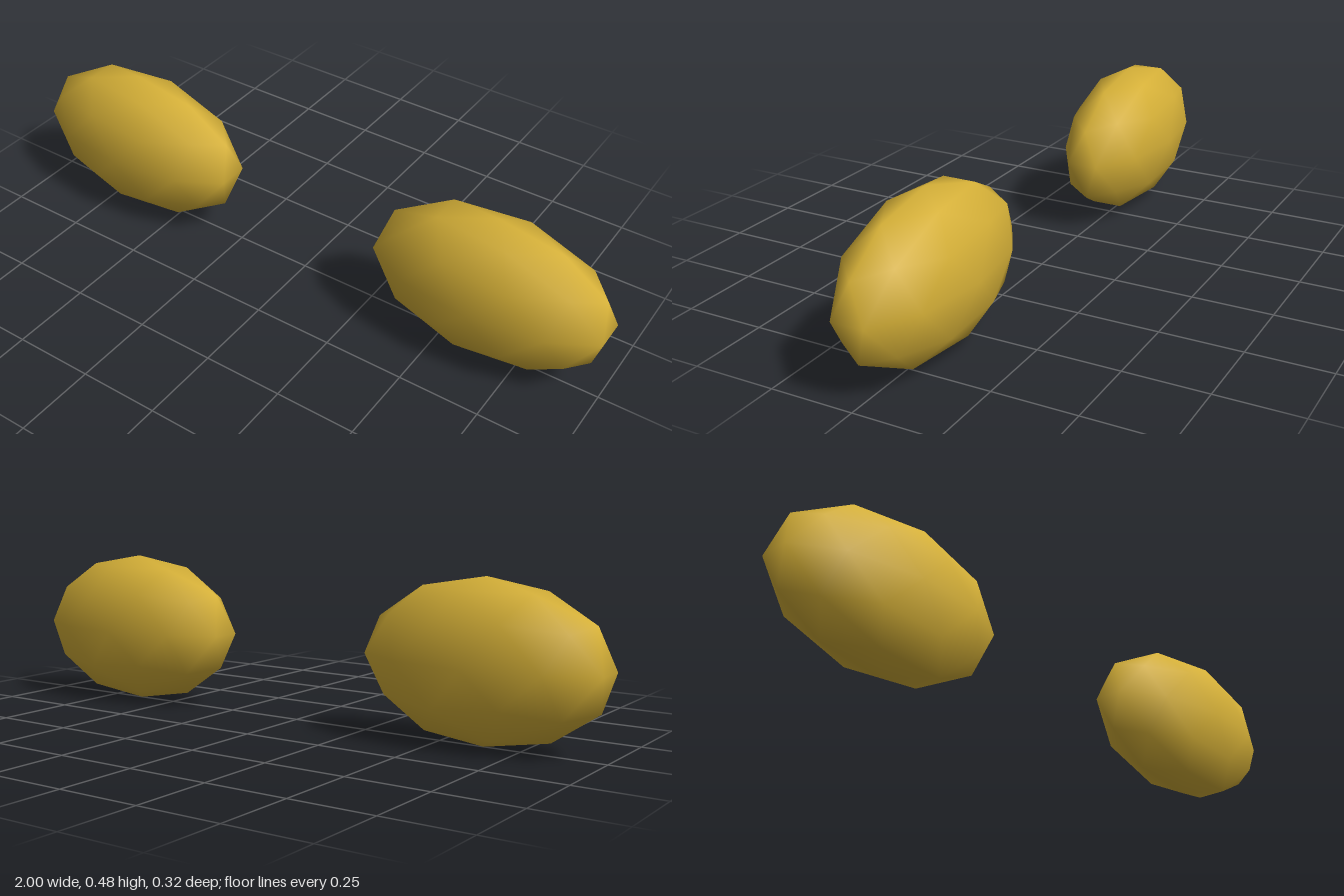
import * as THREE from 'three';

const gold = new THREE.MeshStandardMaterial({ color: 0xd4af37 });
gold.name = 'gold';

// Subdivided icosahedron standing on one corner, stretched into a flattened egg
function eggGeometry(halfX, halfY, halfZ) {
  const geometry = new THREE.IcosahedronGeometry(1, 1);
  const golden = (1 + Math.sqrt(5)) / 2;
  geometry.rotateX(-Math.atan(golden)); // a corner points straight up
  geometry.rotateY(Math.PI / 2); // upper ring has a corner towards +x
  // the ten-sided equator reaches only cos(18 deg) along x
  geometry.scale(halfX / Math.cos(Math.PI / 10), halfY, halfZ);
  return geometry;
}

export function createModel() {
  const group = new THREE.Group();
  group.name = 'ovalPair';
  const geometry = eggGeometry(0.3625, 0.239, 0.159);

  // Two identical ovals side by side
  for (const [name, x] of [['leftOval', 0.6375], ['rightOval', -0.6375]]) {
    const oval = new THREE.Mesh(geometry, gold);
    oval.name = name;
    oval.position.set(x, 0.239, 0);
    group.add(oval);
  }
  return group;
}
